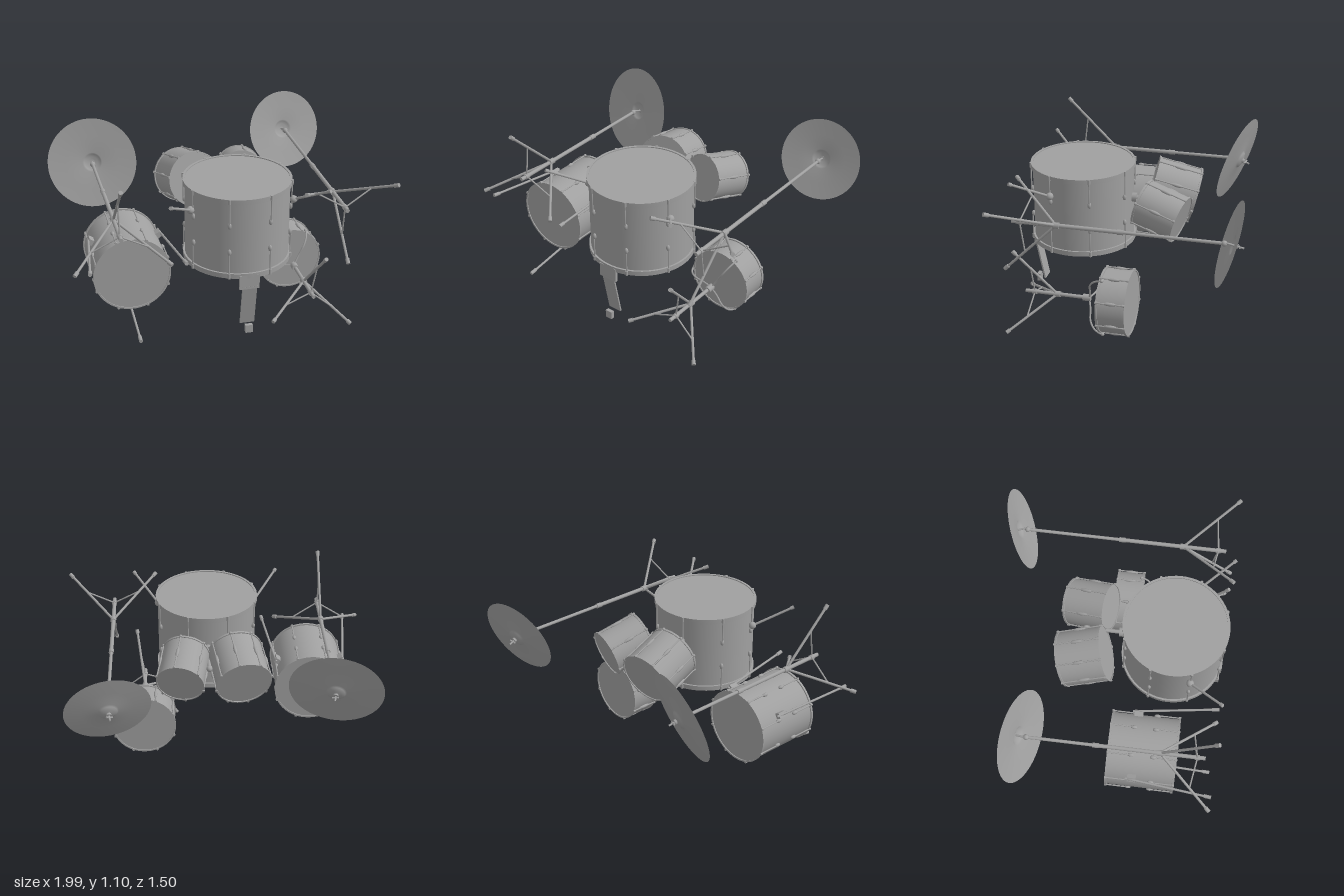
import * as THREE from 'three';
import { toCreasedNormals } from 'three/addons/utils/BufferGeometryUtils.js';

// A drum kit lying on its back: the kit's own "up" is -z, its floor is z = 0.75.
const grey = new THREE.MeshStandardMaterial({ color: 0xa0a0a0 });
grey.name = 'grey';
const greyThin = grey.clone();
greyThin.side = THREE.DoubleSide;

const UP = new THREE.Vector3(0, 1, 0);
const V = (x, y, z) => new THREE.Vector3(x, y, z);

function add(parent, name, geometry, material = grey) {
  const mesh = new THREE.Mesh(geometry, material);
  mesh.name = name;
  parent.add(mesh);
  return mesh;
}

function group(parent, name) {
  const g = new THREE.Group();
  g.name = name;
  parent.add(g);
  return g;
}

// Round bar between two points
function rod(parent, name, a, b, r, r2 = r) {
  const d = b.clone().sub(a);
  const m = add(parent, name, new THREE.CylinderGeometry(r2, r, d.length(), 12));
  m.position.copy(a).add(b).multiplyScalar(0.5);
  m.quaternion.setFromUnitVectors(UP, d.normalize());
  return m;
}

function ball(parent, name, p, r, sx = 1, sy = 1, sz = 1) {
  const m = add(parent, name, new THREE.SphereGeometry(r, 14, 10));
  m.position.copy(p);
  m.scale.set(sx, sy, sz);
  return m;
}

function box(parent, name, p, w, h, d) {
  const m = add(parent, name, new THREE.BoxGeometry(w, h, d));
  m.position.copy(p);
  return m;
}

// Drum along an axis: shell, recessed heads, hoops, tension rods and lugs
function drum(parent, name, o) {
  const { r, len, center, axis, lugs, hoop, lugAt } = o;
  const g = group(parent, name);
  g.position.copy(center);
  g.quaternion.setFromUnitVectors(UP, axis.clone().normalize());
  add(g, 'shell', new THREE.CylinderGeometry(r * 0.965, r * 0.965, len - 0.012, 64));
  const h = len / 2;
  for (const s of [-1, 1]) {
    const lo = s > 0 ? h - hoop : -h, hi = lo + hoop;
    const profile = [[r * 0.955, lo], [r, lo], [r, hi], [r * 0.955, hi], [r * 0.955, lo]]
      .map(p => new THREE.Vector2(...p));
    add(g, 'hoop', toCreasedNormals(new THREE.LatheGeometry(profile, 64), 0.6));
  }
  for (let i = 0; i < lugs; i++) {
    const a = (i + 0.5) / lugs * Math.PI * 2;
    const at = (y, k = 1) => V(Math.cos(a) * r * k, y, Math.sin(a) * r * k);
    for (const s of [-1, 1]) {
      rod(g, 'tensionRod', at(s * (h - 0.002)), at(s * lugAt), 0.0045);
      rod(g, 'rodClaw', at(s * (h - hoop * 0.9)), at(s * (h + 0.002)), 0.009);
      if (lugAt > 0) ball(g, 'lug', at(s * lugAt, 0.985), 0.012, 1, 1.7, 1);
    }
    if (lugAt === 0) ball(g, 'lug', at(0, 0.985), 0.011, 1, 3.8, 1);
  }
  return g;
}

// Tripod legs, feet, braces and collars around a column parallel to z
function tripod(parent, x, y, hubZ, ends, braceZ) {
  const hub = V(x, y, hubZ);
  rod(parent, 'legCollar', V(x, y, hubZ + 0.02), V(x, y, hubZ - 0.02), 0.019);
  rod(parent, 'braceCollar', V(x, y, braceZ + 0.015), V(x, y, braceZ - 0.015), 0.017);
  for (const [ex, ey] of ends) {
    const end = V(ex, ey, 0.74);
    rod(parent, 'leg', hub, end, 0.0085);
    rod(parent, 'foot', hub.clone().lerp(end, 0.93), end, 0.013);
    rod(parent, 'brace', V(x, y, braceZ), hub.clone().lerp(end, 0.6), 0.005);
  }
}

// Cymbal on a tall tripod stand
function cymbalStand(parent, name, o) {
  const { x, y, topZ, r, normal, ends } = o;
  const g = group(parent, name);
  rod(g, 'lowerPole', V(x, y, 0.68), V(x, y, 0), 0.013);
  rod(g, 'heightClamp', V(x, y, 0.02), V(x, y, -0.02), 0.016);
  rod(g, 'upperPole', V(x, y, 0), V(x, y, topZ + 0.03), 0.0105);
  tripod(g, x, y, 0.4, ends, 0.63);
  ball(g, 'tilter', V(x, y, topZ + 0.03), 0.018);

  const head = group(g, 'cymbalHead');
  head.position.set(x, y, topZ);
  head.quaternion.setFromUnitVectors(UP, normal.clone().normalize());
  const profile = [[r, 0], [r * 0.6, 0.011], [0.065, 0.018], [0.055, 0.027], [0.035, 0.036], [0.004, 0.04]]
    .map(p => new THREE.Vector2(...p));
  add(head, 'cymbal', new THREE.LatheGeometry(profile, 64), greyThin);
  rod(head, 'spindle', V(0, -0.03, 0), V(0, 0.09, 0), 0.006);
  rod(head, 'feltWasher', V(0, 0.038, 0), V(0, 0.052, 0), 0.016);
  rod(head, 'wingNut', V(-0.02, 0.062, 0), V(0.02, 0.062, 0), 0.006);
}

export function createModel() {
  const kit = new THREE.Group();
  kit.name = 'drumKit';
  const kitUp = V(0, 0, -1);

  // Drums
  drum(kit, 'bassDrum', { r: 0.335, len: 0.525, center: V(0.07, 0.708, 0.41), axis: UP, lugs: 8, hoop: 0.032, lugAt: 0.088 });
  drum(kit, 'floorTom', { r: 0.24, len: 0.44, center: V(-0.61, 0.43, 0.29), axis: kitUp, lugs: 8, hoop: 0.014, lugAt: 0.07 });
  drum(kit, 'snareDrum', { r: 0.21, len: 0.185, center: V(0.5, 0.215, 0.073), axis: kitUp, lugs: 8, hoop: 0.014, lugAt: 0 });
  const largeUp = V(-0.17, -0.29, -1), smallUp = V(0.18, -0.29, -1);
  const largeAt = V(-0.12, 0.743, -0.145), smallAt = V(0.235, 0.745, -0.145);
  drum(kit, 'largeTom', { r: 0.178, len: 0.29, center: largeAt, axis: largeUp, lugs: 8, hoop: 0.013, lugAt: 0 });
  drum(kit, 'smallTom', { r: 0.153, len: 0.275, center: smallAt, axis: smallUp, lugs: 6, hoop: 0.013, lugAt: 0 });

  // Tom mount
  const mount = group(kit, 'tomMount');
  rod(mount, 'mountPost', V(0.07, 0.745, 0.1), V(0.07, 0.745, -0.17), 0.013);
  rod(mount, 'mountBase', V(0.07, 0.745, 0.085), V(0.07, 0.745, 0.055), 0.03);
  rod(mount, 'largeTomArm', V(0.07, 0.745, -0.15), V(-0.02, 0.745, -0.13), 0.011);
  rod(mount, 'smallTomArm', V(0.07, 0.745, -0.15), V(0.14, 0.745, -0.13), 0.011);
  ball(mount, 'mountJoint', V(0.07, 0.745, -0.16), 0.02);

  // Bass drum spurs, mirrored about the drum axis
  for (const s of [-1, 1]) {
    const at = (dx, y, z) => V(0.07 + s * dx, y, z);
    const spur = group(kit, 'bassDrumSpur');
    const a = at(0.31, 0.83, 0.52), b = at(0.485, 0.97, 0.742);
    ball(spur, 'spurBracket', at(0.322, 0.84, 0.535), 0.024);
    rod(spur, 'spurLeg', a, b, 0.008);
    rod(spur, 'spurFoot', a.clone().lerp(b, 0.93), b, 0.012);
  }

  // Floor tom legs
  for (const deg of [-90, 30, 150]) {
    const a = deg * Math.PI / 180;
    const at = (r, z) => V(-0.61 + Math.cos(a) * r, 0.43 + Math.sin(a) * r, z);
    const leg = group(kit, 'floorTomLeg');
    rod(leg, 'legBar', at(0.255, 0.2), at(0.33, 0.73), 0.0075);
    rod(leg, 'legFoot', at(0.325, 0.7), at(0.332, 0.745), 0.012);
    const bracket = box(leg, 'legBracket', at(0.247, 0.24), 0.035, 0.035, 0.055);
    bracket.rotation.z = a;
  }

  // Snare stand with a three-armed basket
  const stand = group(kit, 'snareStand');
  rod(stand, 'column', V(0.5, 0.215, 0.68), V(0.5, 0.215, 0.27), 0.012);
  rod(stand, 'basketHub', V(0.5, 0.215, 0.3), V(0.5, 0.215, 0.25), 0.022);
  tripod(stand, 0.5, 0.215, 0.47, [[0.55, 0.51], [0.22, 0.11], [0.73, 0.025]], 0.62);
  for (const deg of [60, 180, 300]) {
    const a = deg * Math.PI / 180;
    const path = [[0, 0.26], [0.07, 0.243], [0.14, 0.235], [0.19, 0.205], [0.214, 0.165], [0.218, 0.145]]
      .map(([r, z]) => V(0.5 + Math.cos(a) * r, 0.215 + Math.sin(a) * r, z));
    add(stand, 'basketArm', new THREE.TubeGeometry(new THREE.CatmullRomCurve3(path), 24, 0.006, 8));
    ball(stand, 'basketGrip', path[5], 0.011);
  }

  // Bass drum pedal
  const pedal = group(kit, 'bassPedal');
  box(pedal, 'toePlate', V(0.065, 0.418, 0.735), 0.125, 0.095, 0.018);
  const board = box(pedal, 'footboard', V(0.067, 0.245, 0.712), 0.092, 0.29, 0.01);
  board.rotation.x = 0.19;
  box(pedal, 'heelBlock', V(0.065, 0.09, 0.738), 0.046, 0.052, 0.024);
  for (const x of [0.02, 0.11]) rod(pedal, 'pedalPost', V(x, 0.425, 0.735), V(x, 0.425, 0.51), 0.009);
  rod(pedal, 'axle', V(0.01, 0.425, 0.52), V(0.12, 0.425, 0.52), 0.01);
  rod(pedal, 'linkage', V(0.065, 0.425, 0.52), V(0.065, 0.39, 0.72), 0.004);
  rod(pedal, 'beaterRod', V(0.065, 0.425, 0.52), V(0.065, 0.37, 0.33), 0.005);
  rod(pedal, 'beater', V(0.065, 0.34, 0.32), V(0.065, 0.4, 0.33), 0.03);

  // Cymbals
  cymbalStand(kit, 'rightCymbalStand', {
    x: -0.698, y: 0.763, topZ: -0.463, r: 0.295, normal: V(0.22, -0.31, -1),
    ends: [[-0.7, 1.1], [-0.987, 0.595], [-0.408, 0.595]],
  });
  cymbalStand(kit, 'leftCymbalStand', {
    x: 0.692, y: 0.793, topZ: -0.655, r: 0.265, normal: V(-0.21, -0.33, -1),
    ends: [[0.987, 0.96], [0.405, 0.96], [0.692, 0.46]],
  });

  return kit;
}
